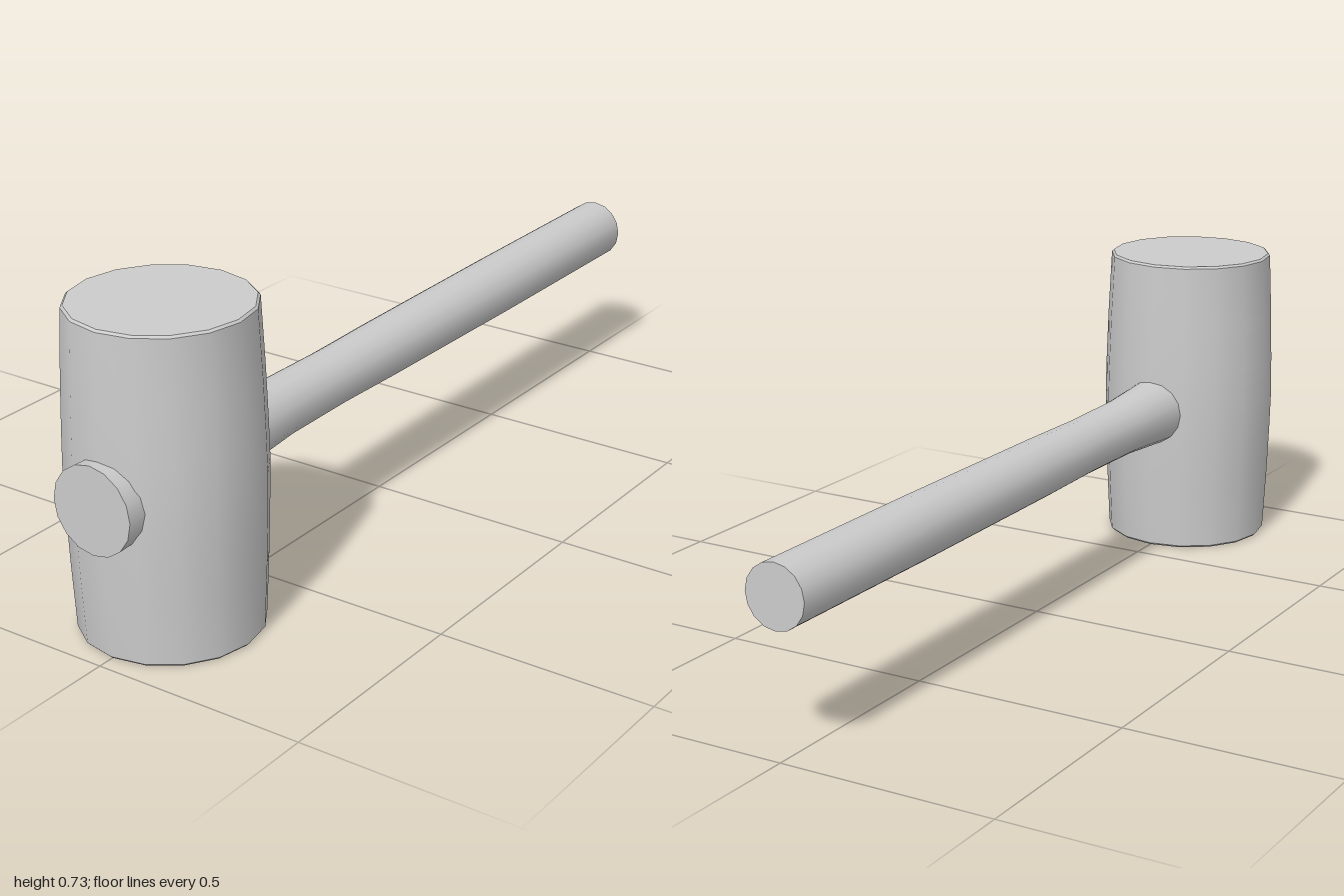
import * as THREE from 'three';
import { toCreasedNormals } from 'three/addons/utils/BufferGeometryUtils.js';

const SIDES = 16;
const HEIGHT = 0.725;
const HEAD_Z = 0.765;

// Closed turned solid from [radius, height] pairs, listed bottom to top
function turned(name, profile, material) {
  const points = profile.map(([r, h]) => new THREE.Vector2(r, h));
  const geometry = toCreasedNormals(new THREE.LatheGeometry(points, SIDES), 0.6);
  const mesh = new THREE.Mesh(geometry, material);
  mesh.name = name;
  return mesh;
}

export function createModel() {
  const group = new THREE.Group();
  group.name = 'mallet';
  const material = new THREE.MeshStandardMaterial({ color: 0xcccccc });

  // Barrel-shaped head with narrow bevels at both striking faces
  const head = turned('head', [
    [0, 0], [0.195, 0], [0.2, 0.005],
    [0.207, 0.15], [0.211, 0.27], [0.213, HEIGHT / 2], [0.211, HEIGHT - 0.27], [0.207, HEIGHT - 0.15],
    [0.2, HEIGHT - 0.005], [0.195, HEIGHT], [0, HEIGHT],
  ], material);
  head.position.z = HEAD_Z;
  group.add(head);

  // Handle runs through the head and flares to a wider front end
  const handle = turned('handle', [
    [0, -1], [0.072, -1], [0.072, -0.5], [0.069, 0], [0.066, 0.2],
    [0.068, 0.4], [0.079, 0.56], [0.09, 0.8], [0.099, 1], [0, 1],
  ], material);
  handle.rotation.x = Math.PI / 2;
  handle.position.y = 0.351;
  group.add(handle);

  return group;
}
